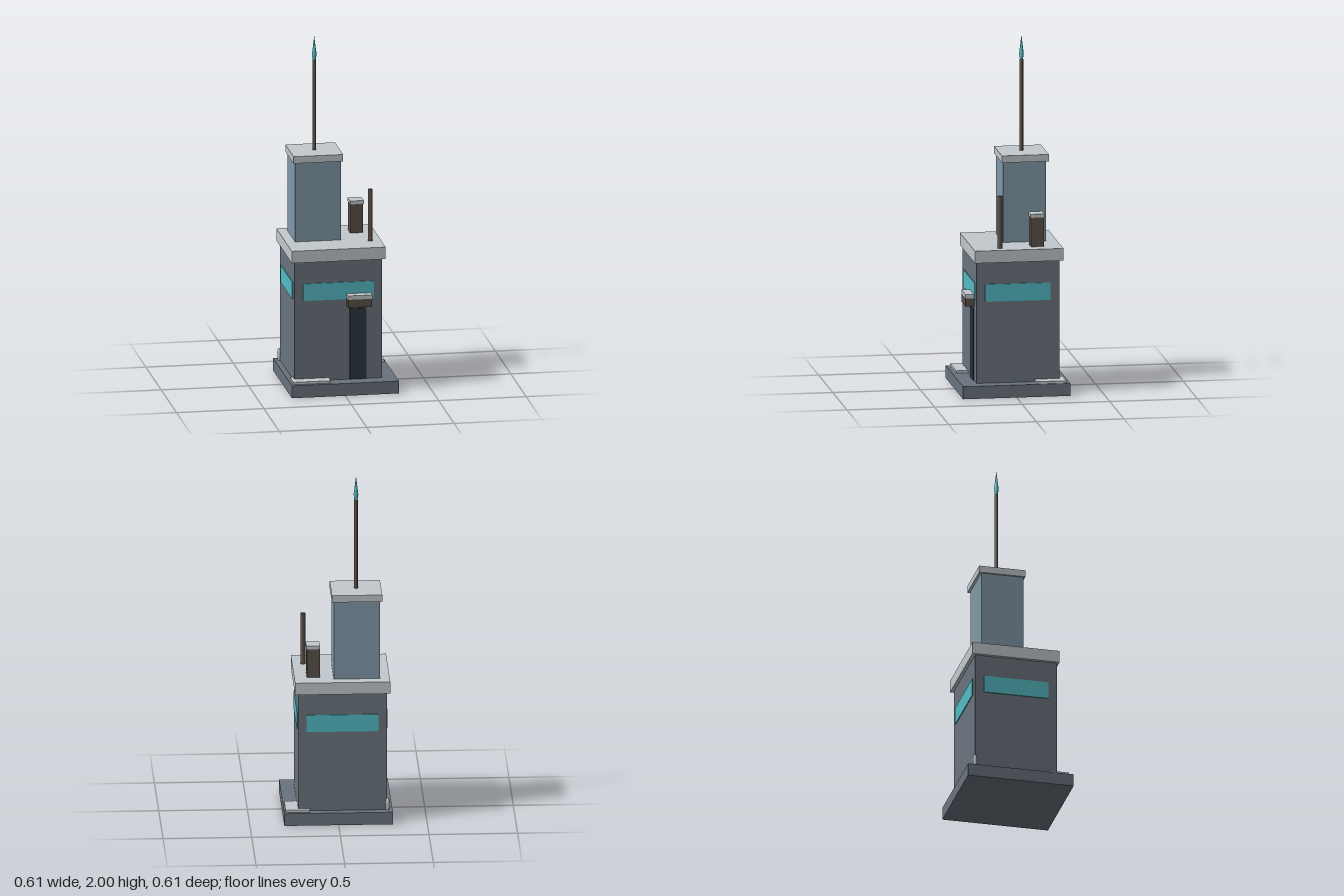
import * as THREE from 'three';

const mat = (name, color) => {
  const m = new THREE.MeshStandardMaterial({ color });
  m.name = name;
  return m;
};

export function createModel() {
  const group = new THREE.Group();
  const stone = mat('slate wall', 0x6a747e);
  const snow = mat('pale roof', 0xc3c9cc);
  const glass = mat('cyan window', 0x55bcc6);
  const towerBlue = mat('blue tower', 0x8299a8);
  const brown = mat('brown metal', 0x5c5249);
  const dark = mat('dark door', 0x2c3640);

  const add = (name, geo, m, x, y, z) => {
    const mesh = new THREE.Mesh(geo, m);
    mesh.name = name;
    mesh.position.set(x, y, z);
    group.add(mesh);
    return mesh;
  };
  // Box given by its limits on each axis
  const box = (name, m, [x0, x1], [y0, y1], [z0, z1]) =>
    add(name, new THREE.BoxGeometry(x1 - x0, y1 - y0, z1 - z0), m,
      (x0 + x1) / 2, (y0 + y1) / 2, (z0 + z1) / 2);
  const pole = (name, r, y0, y1, x, z) =>
    add(name, new THREE.CylinderGeometry(r, r, y1 - y0, 12), brown, x, (y0 + y1) / 2, z);

  // Main building
  box('base', stone, [-0.306, 0.306], [0, 0.072], [-0.306, 0.306]);
  box('body', stone, [-0.275, 0.226], [0.072, 0.766], [-0.258, 0.216]);
  box('roofSlab', snow, [-0.293, 0.244], [0.766, 0.836], [-0.277, 0.228]);

  // Upper tower
  box('tower', towerBlue, [-0.239, 0.023], [0.836, 1.296], [-0.213, 0.031]);
  box('towerCap', snow, [-0.25, 0.034], [1.296, 1.336], [-0.228, 0.04]);

  // Antenna and pointed tip
  pole('antenna', 0.0105, 1.336, 1.86, -0.108, -0.094);
  const tip = [[0, 1.845], [0.007, 1.85], [0.0135, 1.89], [0, 2]].map(p => new THREE.Vector2(...p));
  add('antennaTip', new THREE.LatheGeometry(tip, 8), glass, -0.108, 0, -0.094);

  // Chimney and vent pipe
  box('chimney', brown, [0.1, 0.173], [0.836, 1.004], [-0.177, -0.103]);
  box('chimneyCap', snow, [0.098, 0.177], [1.004, 1.024], [-0.18, -0.1]);
  pole('ventPipe', 0.0135, 0.836, 1.136, 0.183, 0.075);

  // Window bands on all four walls
  const wy = [0.54, 0.64];
  box('frontWindow', glass, [-0.226, 0.178], wy, [0.214, 0.221]);
  box('backWindow', glass, [-0.226, 0.178], wy, [-0.263, -0.256]);
  box('leftWindow', glass, [0.224, 0.231], wy, [-0.206, 0.167]);
  box('rightWindow', glass, [-0.281, -0.273], wy, [-0.206, 0.167]);

  // Door and canopy
  box('door', dark, [0.04, 0.136], [0.072, 0.486], [0.214, 0.222]);
  box('canopy', brown, [0.022, 0.16], [0.502, 0.549], [0.21, 0.268]);
  box('canopyTop', snow, [0.02, 0.161], [0.549, 0.572], [0.21, 0.27]);

  // Pale patches on the base
  box('frontPatch', snow, [-0.293, -0.079], [0.072, 0.086], [0.17, 0.283]);
  box('backPatch', snow, [0.16, 0.298], [0.072, 0.086], [-0.285, -0.117]);

  // Small post at the back corner
  const post = [[0.009, 0.072], [0.012, 0.12], [0.008, 0.138], [0, 0.142]].map(p => new THREE.Vector2(...p));
  add('cornerPost', new THREE.LatheGeometry(post, 8), snow, -0.279, 0, -0.259);

  return group;
}
